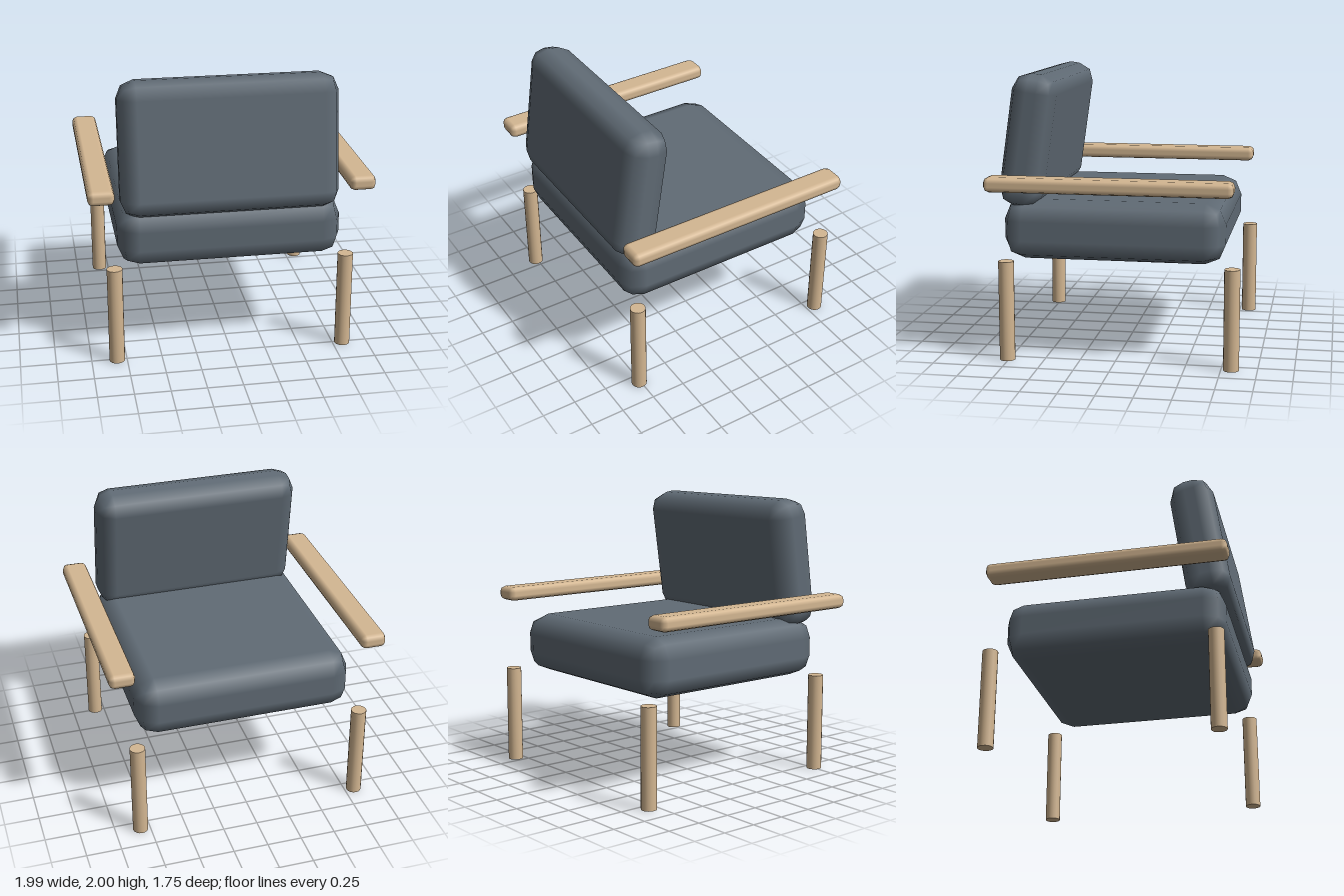
import * as THREE from 'three';
import { RoundedBoxGeometry } from 'three/addons/geometries/RoundedBoxGeometry.js';

const fabric = new THREE.MeshStandardMaterial({ name: 'slate fabric', color: 0x606b75 });
const wood = new THREE.MeshStandardMaterial({ name: 'light wood', color: 0xd4b792 });

// Softly bevelled block with the given outer size; the coarse rounding
// falls short of the nominal size by a small share of the radius.
function softBlock(name, material, w, h, d, radius) {
  const grow = 0.19 * radius;
  const mesh = new THREE.Mesh(new RoundedBoxGeometry(w + grow, h + grow, d + grow, 1, radius), material);
  mesh.name = name;
  return mesh;
}

export function createModel() {
  const chair = new THREE.Group();
  chair.name = 'armchair';

  // Seat cushion
  const seat = softBlock('seatCushion', fabric, 1.55, 0.4, 1.54, 0.145);
  seat.position.set(0, 0.912, 0.025);
  chair.add(seat);

  // Back cushion, tilted over the seat
  const back = softBlock('backCushion', fabric, 1.505, 0.923, 0.296, 0.125);
  back.position.set(0, 1.531, 0.636);
  back.rotation.x = -0.143;
  chair.add(back);

  const legGeometry = new THREE.CylinderGeometry(0.055, 0.055, 0.71, 16);
  for (const side of [-1, 1]) {
    const sideName = side > 0 ? 'left' : 'right';

    // Armrest
    const arm = softBlock(sideName + 'Armrest', wood, 0.176, 0.096, 1.7, 0.038);
    arm.position.set(side * 0.902, 1.268, 0.02);
    chair.add(arm);

    // Legs
    for (const [end, z] of [['Back', 0.76], ['Front', -0.82]]) {
      const leg = new THREE.Mesh(legGeometry, wood);
      leg.name = sideName + end + 'Leg';
      leg.position.set(side * 0.82, 0.355, z);
      chair.add(leg);
    }
  }
  return chair;
}
